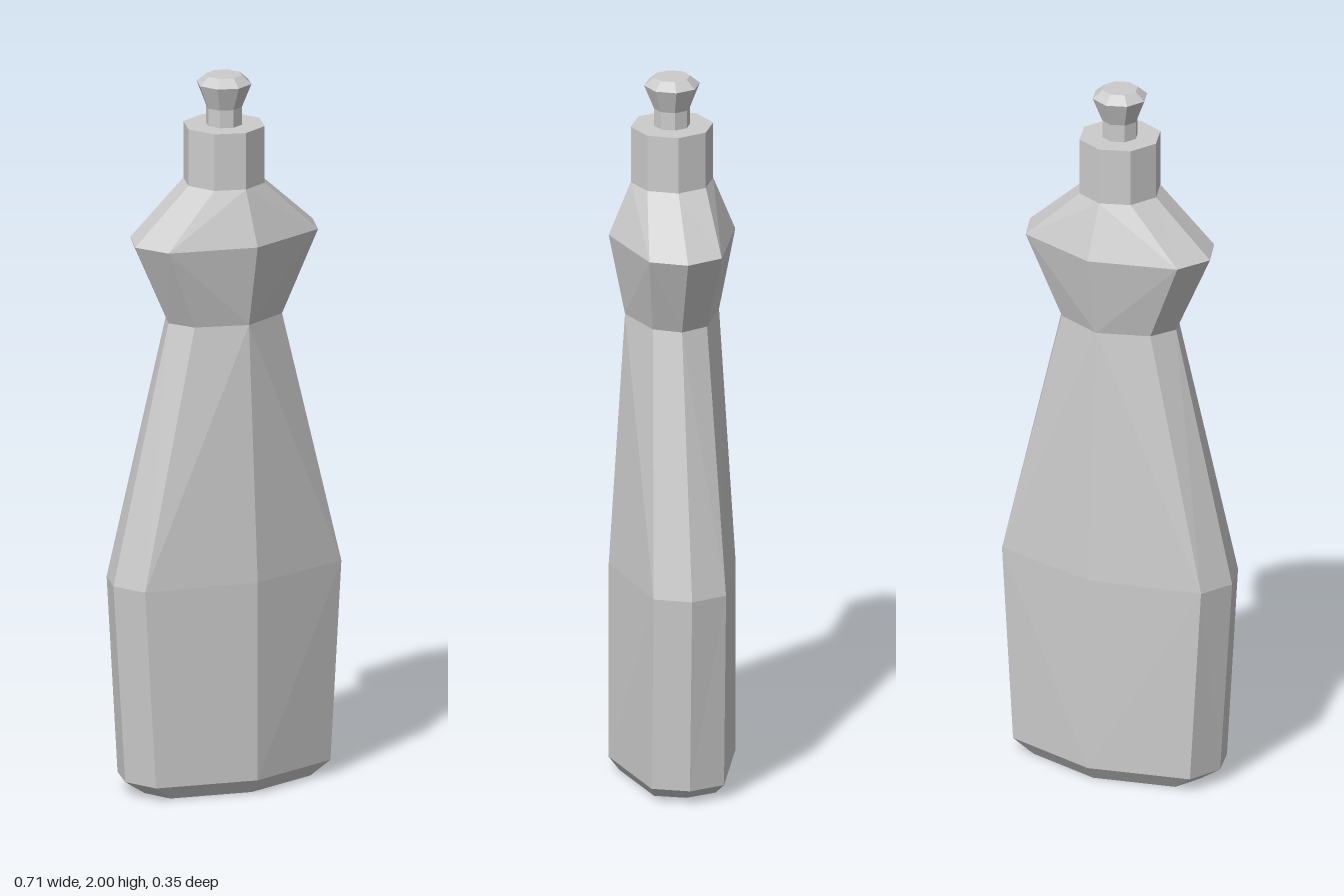
import * as THREE from 'three';

const SIDES = 8;

// Body levels: y, half width, corner x, half depth, corner z
const LEVELS = [
  [0.00, 0.255, 0.225, 0.145, 0.085],
  [0.04, 0.317, 0.280, 0.175, 0.10],
  [0.60, 0.355, 0.315, 0.175, 0.10],
  [1.32, 0.178, 0.140, 0.130, 0.075],
  [1.55, 0.285, 0.240, 0.175, 0.10],
  [1.70, 0.114, 0.081, 0.114, 0.081],
];

// Eight-sided section, counter-clockwise seen from above
function section([y, hx, cx, hz, cz]) {
  return [
    [hx, y, 0], [cx, y, -cz], [0, y, -hz], [-cx, y, -cz],
    [-hx, y, 0], [-cx, y, cz], [0, y, hz], [cx, y, cz],
  ];
}

// Loft between the sections, closed at both ends
function loft(levels) {
  const index = [];
  for (let i = 0; i < levels.length - 1; i++) {
    const narrowsUp = levels[i + 1][1] < levels[i][1];
    for (let j = 0; j < SIDES; j++) {
      const k = (j + 1) % SIDES;
      const a = i * SIDES + j, b = i * SIDES + k;
      const c = b + SIDES, d = a + SIDES;
      // Split each quad so that the faces bulge outwards
      if ((j % 2 === 1) === narrowsUp) index.push(a, b, c, a, c, d);
      else index.push(a, b, d, b, c, d);
    }
  }
  const top = (levels.length - 1) * SIDES;
  for (let j = 1; j < SIDES - 1; j++) {
    index.push(0, j + 1, j, top, top + j, top + j + 1);
  }
  const geometry = new THREE.BufferGeometry();
  geometry.setAttribute('position', new THREE.Float32BufferAttribute(levels.flatMap(section).flat(), 3));
  geometry.setIndex(index);
  const flat = geometry.toNonIndexed();
  flat.computeVertexNormals();
  return flat;
}

export function createModel() {
  const group = new THREE.Group();
  const material = new THREE.MeshStandardMaterial({ color: 0xcccccc, flatShading: true });

  const add = (name, geometry) => {
    const mesh = new THREE.Mesh(geometry, material);
    mesh.name = name;
    group.add(mesh);
    return mesh;
  };

  // Flattened bottle with waist and shoulder
  add('bottleBody', loft(LEVELS));

  // Octagonal cap
  add('cap', new THREE.CylinderGeometry(0.114, 0.114, 0.16, SIDES)).position.y = 1.78;

  // Flared pull-up nozzle
  const profile = [[0.05, 1.86], [0.05, 1.91], [0.077, 1.977], [0.05, 2], [0, 2]];
  add('nozzle', new THREE.LatheGeometry(profile.map(([r, y]) => new THREE.Vector2(r, y)), SIDES));

  return group;
}
